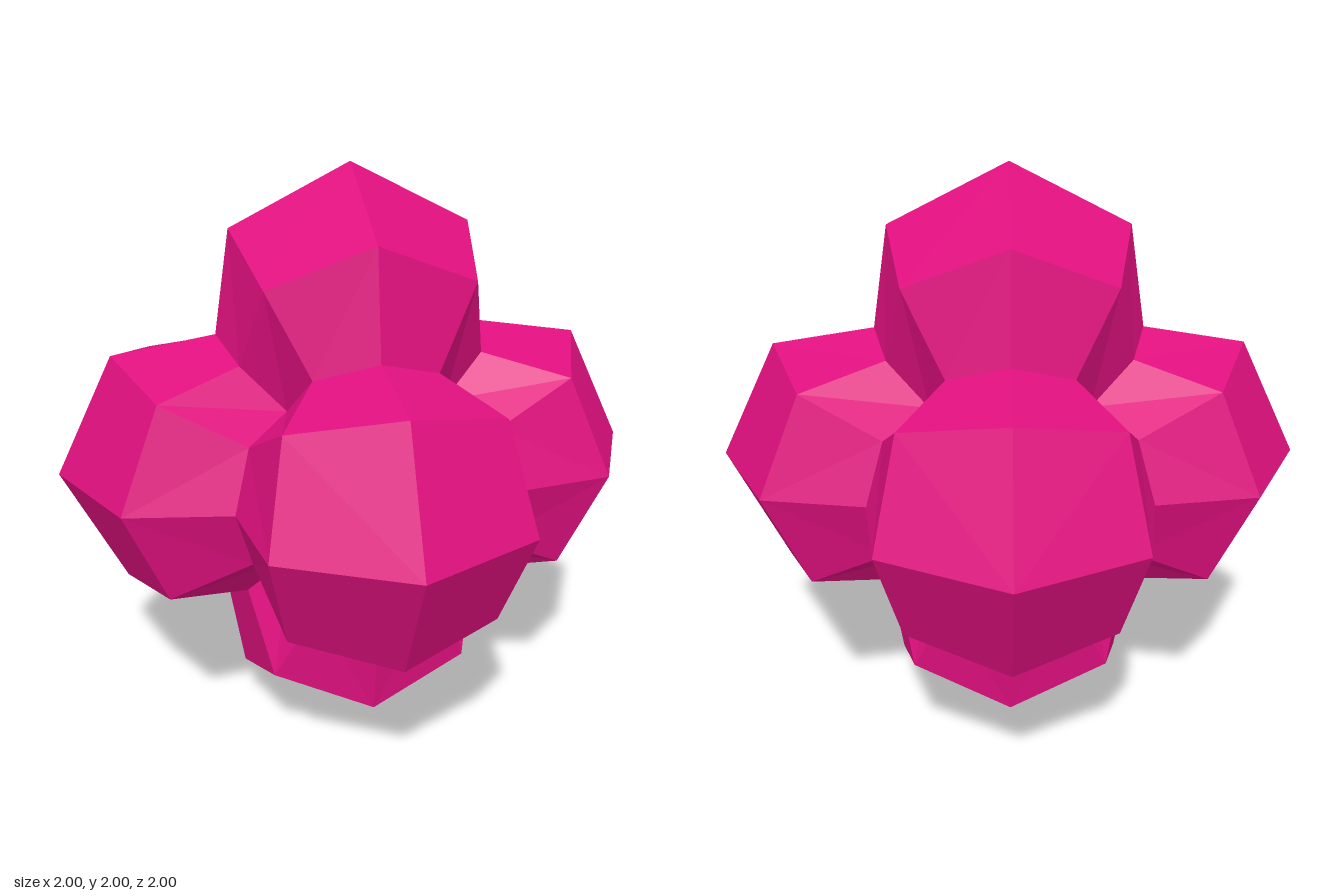
import * as THREE from 'three';

// Distance scale for a cube-grid direction, by its coordinates sorted from large to small
const SCALE = {
  '1,0,0': 1, '1,0.5,0': 0.8, '1,0.5,0.5': 0.667,      // lobe cap
  '1,1,0': 0.455, '1,1,0.5': 0.4, '1,1,1': 0.26,       // valleys between lobes
};

function gridPoint(axis, sign, u, v) {
  const p = [0, 0, 0];
  p[axis] = sign;
  p[(axis + 1) % 3] = u * sign;
  p[(axis + 2) % 3] = v;
  const key = p.map(Math.abs).sort((a, b) => b - a).join(',');
  return new THREE.Vector3(...p).multiplyScalar(SCALE[key]);
}

// One lobe: a 4 x 4 patch of quads around an axis
function lobeGeometry(axis, sign) {
  const positions = [];
  const add = (...pts) => pts.forEach((p) => positions.push(p.x, p.y, p.z));
  for (let i = 0; i < 4; i++) {
    for (let j = 0; j < 4; j++) {
      const u = i / 2 - 1, v = j / 2 - 1;
      const a = gridPoint(axis, sign, u, v);
      const b = gridPoint(axis, sign, u + 0.5, v);
      const c = gridPoint(axis, sign, u + 0.5, v + 0.5);
      const d = gridPoint(axis, sign, u, v + 0.5);
      // diagonals run outward from the tip, so all quadrants mirror each other
      if ((i < 2) === (j < 2)) add(a, b, c, a, c, d);
      else add(a, b, d, b, c, d);
    }
  }
  const geometry = new THREE.BufferGeometry();
  geometry.setAttribute('position', new THREE.Float32BufferAttribute(positions, 3));
  geometry.computeVertexNormals();
  return geometry;
}

export function createModel() {
  const group = new THREE.Group();
  group.name = 'sixLobedSolid';
  const material = new THREE.MeshStandardMaterial({ color: 0xe0107f, flatShading: true });
  const names = [['leftLobe', 'rightLobe'], ['topLobe', 'bottomLobe'], ['frontLobe', 'backLobe']];
  names.forEach((pair, axis) => pair.forEach((name, k) => {
    const lobe = new THREE.Mesh(lobeGeometry(axis, k === 0 ? 1 : -1), material);
    lobe.name = name;
    lobe.position.y = 1;
    group.add(lobe);
  }));
  return group;
}
